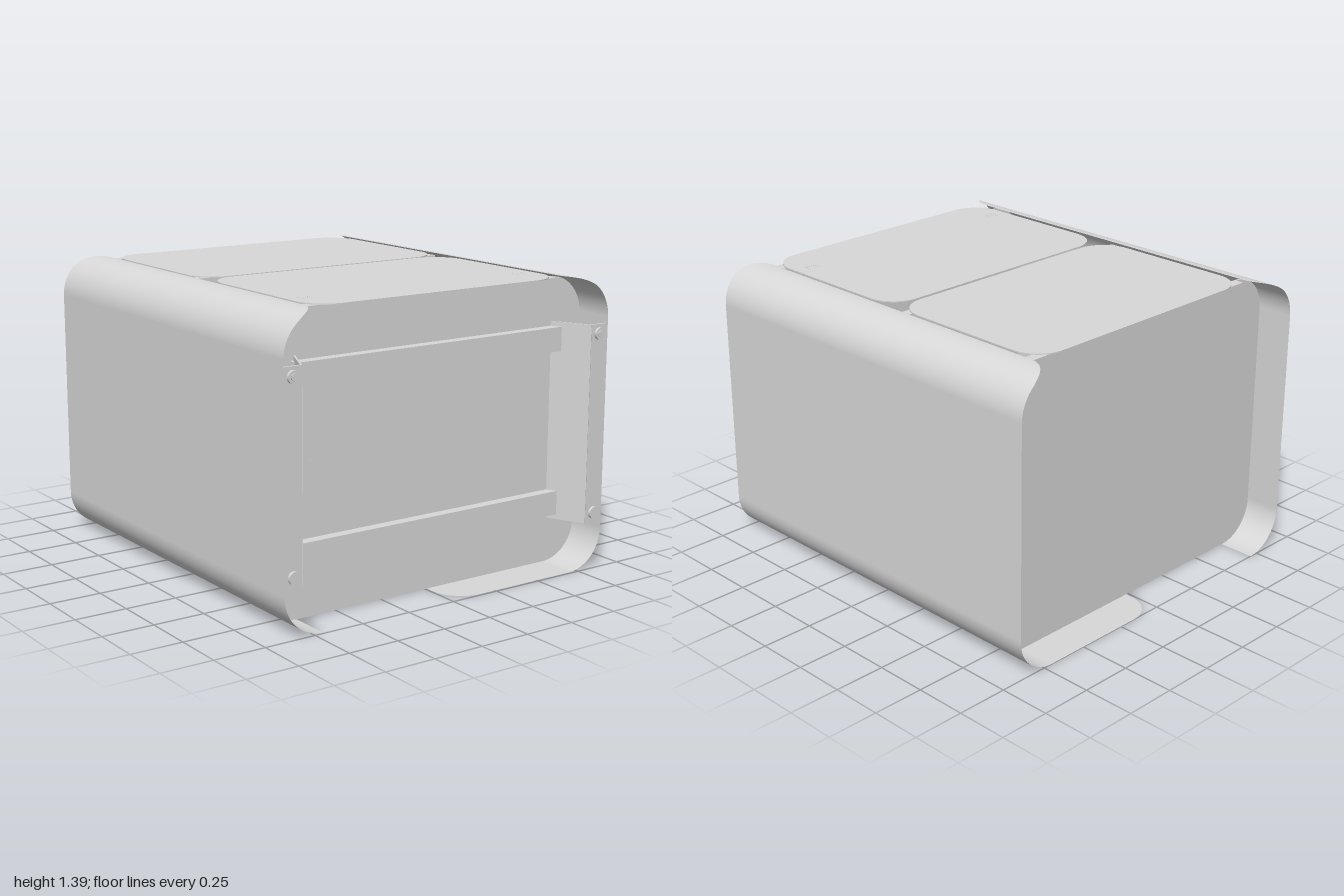
import * as THREE from 'three';

const W = 0.895, H = 1.393, R = 0.19, ZB = -1, ZF = 0.988;
const steel = new THREE.MeshStandardMaterial({ color: 0xd8d8d8, side: THREE.DoubleSide });
steel.name = 'light grey steel';

function add(group, name, geometry, x = 0, y = 0, z = 0) {
  const mesh = new THREE.Mesh(geometry, steel);
  mesh.name = name;
  mesh.position.set(x, y, z);
  group.add(mesh);
  return mesh;
}

const box = (group, name, w, h, d, x, y, z) =>
  add(group, name, new THREE.BoxGeometry(w, h, d), x, y, z);

function roundedRect(x0, y0, x1, y1, r) {
  const s = new THREE.Shape();
  s.absarc(x1 - r, y0 + r, r, -Math.PI / 2, 0);
  s.absarc(x1 - r, y1 - r, r, 0, Math.PI / 2);
  s.absarc(x0 + r, y1 - r, r, Math.PI / 2, Math.PI);
  s.absarc(x0 + r, y0 + r, r, Math.PI, Math.PI * 1.5);
  s.closePath();
  return s;
}

const extrude = (shape, depth) =>
  new THREE.ExtrudeGeometry(shape, { depth, bevelEnabled: false, curveSegments: 12 });

// Bent sheet: rounded top lip, tall side, rounded bottom corner, optional bottom flap
function wrapGeometry(side, flapLength) {
  const arc = R * Math.PI / 2, tall = H - 2 * R;
  const total = 2 * arc + tall + flapLength;
  const point = (s) => {
    if (s < arc) return [W - R + R * Math.sin(s / R), H - R + R * Math.cos(s / R)];
    s -= arc;
    if (s < tall) return [W, H - R - s];
    s -= tall;
    if (s < arc) return [W - R + R * Math.cos(s / R), R - R * Math.sin(s / R)];
    return [W - R - (s - arc), 0];
  };
  // Unrolled corners of the sheet are trimmed round
  const trim = (d, r) => (d < r ? r - Math.sqrt(Math.max(0, r * r - (r - d) ** 2)) : 0);
  const stops = [];
  for (let i = 0; i <= 24; i++) stops.push(arc * (1 - Math.cos(i / 24 * Math.PI / 2)));
  for (let i = 0; i <= 12; i++) stops.push(arc + tall + arc * i / 12);
  if (flapLength) for (let i = 0; i <= 16; i++) {
    stops.push(total - 0.15 * (1 - Math.sin(i / 16 * Math.PI / 2)));
  }
  const geo = new THREE.PlaneGeometry(1, 1, stops.length - 1, 1);
  const pos = geo.attributes.position, n = stops.length;
  stops.forEach((s, i) => {
    const [x, y] = point(s);
    const cut = trim(s, 0.145) + (flapLength ? trim(total - s, 0.15) : 0);
    pos.setXYZ(i, side * x, y, ZF - cut);
    pos.setXYZ(n + i, side * x, y, ZB + cut);
  });
  geo.computeVertexNormals();
  return geo;
}

// Flat lid with rounded corners, optionally with two U-shaped slots
function lid(group, name, z0, z1, slotted) {
  const shape = roundedRect(-0.683, -z1, 0.683, -z0, 0.15);
  if (slotted) for (const x of [-0.595, 0.595]) {
    const t = 0.003, a = x - 0.027, b = x + 0.027, lo = -0.715, hi = -0.672;
    const u = [[a, hi], [a, lo], [b, lo], [b, hi], [b - t, hi], [b - t, lo + t], [a + t, lo + t], [a + t, hi]];
    shape.holes.push(new THREE.Path(u.map(([px, py]) => new THREE.Vector2(px, py))));
  }
  const geo = extrude(shape, 0.005);
  geo.rotateX(-Math.PI / 2);
  add(group, name, geo, 0, H - 0.006, 0);
}

export function createModel() {
  const model = new THREE.Group();
  model.name = 'enclosure';

  // Side sheets; only one carries the bottom flap
  add(model, 'leftWrap', wrapGeometry(1, 0.695));
  add(model, 'rightWrap', wrapGeometry(-1, 0));

  // Top lids
  lid(model, 'backLid', -0.885, 0, false);
  lid(model, 'frontLid', 0.02, 0.903, true);

  // Recessed end panels
  const panel = extrude(roundedRect(-W + 0.004, 0.004, W - 0.004, H - 0.01, R - 0.004), 0.01);
  add(model, 'backPanel', panel, 0, 0, -0.825);
  add(model, 'frontPanel', panel, 0, 0, 0.79);

  // Cross braces under the lids
  for (const z of [-0.84, -0.075, 0.825]) {
    box(model, 'topBraceFlange', 1.39, 0.006, 0.05, 0, H - 0.012, z);
    box(model, 'topBraceWeb', 1.39, 0.05, 0.006, 0, H - 0.036, z + 0.022);
  }

  // Floor braces
  for (const z of [-0.78, -0.075, 0.765]) {
    box(model, 'floorBraceFlange', 1.39, 0.006, 0.05, 0, 0.01, z);
    box(model, 'floorBraceWeb', 1.39, 0.05, 0.006, 0, 0.035, z + 0.022);
  }

  // Front rails
  for (const y of [1.093, 0.303]) {
    box(model, 'frontRail', 1.48, 0.115, 0.05, 0, y, 0.825);
  }

  // Bent sheet uprights with bolts
  const bolt = new THREE.CylinderGeometry(0.018, 0.018, 0.014, 6);
  bolt.rotateX(Math.PI / 2);
  const washer = new THREE.CylinderGeometry(0.029, 0.029, 0.014, 24);
  washer.rotateX(Math.PI / 2);
  const run = Math.hypot(0.085, 0.18), tilt = Math.atan2(0.085, 0.18);
  for (const side of [-1, 1]) {
    box(model, 'uprightFlange', 0.09, 0.95, 0.01, side * 0.847, 0.697, 0.978);
    const slope = box(model, 'uprightSlope', 0.008, 0.95, run, side * 0.7605, 0.697, 0.89);
    slope.rotation.y = side * tilt;
    for (const y of [1.128, 0.27]) add(model, 'washer', washer, side * 0.847, y, 0.989);
    add(model, 'bolt', bolt, side * 0.847, 1.128, 0.993);
    box(model, 'panelPin', 0.006, 0.02, 0.006, side * 0.64, 0.7, 0.802);
  }

  // Small latch brackets inside, near the open half of the floor
  for (const z of [-0.36, 0.58]) {
    box(model, 'latchPlate', 0.2, 0.26, 0.01, -0.47, 0.16, z + 0.1);
    for (const x of [-0.57, -0.37]) box(model, 'latchCheek', 0.01, 0.26, 0.12, x, 0.16, z + 0.04);
    box(model, 'latchBlock', 0.08, 0.1, 0.08, -0.47, 0.17, z + 0.05);
  }
  return model;
}
